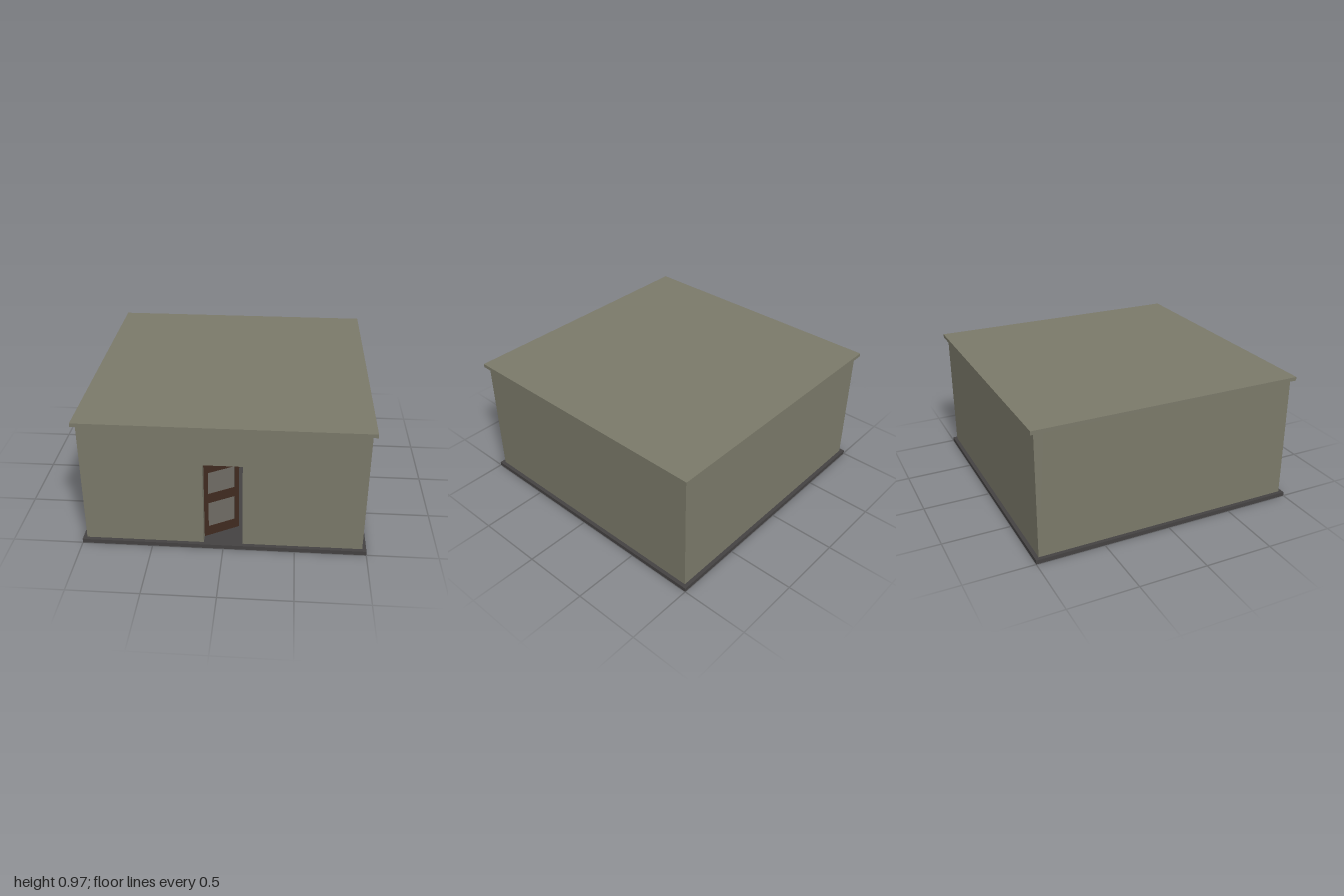
import * as THREE from 'three';

const material = (name, color) => {
  const m = new THREE.MeshStandardMaterial({ color });
  m.name = name;
  return m;
};

export function createModel() {
  const plaster = material('olive plaster', 0x7a7969);
  const stone = material('dark stone', 0x444242);
  const wood = material('dark brown wood', 0x3f2a20);
  const glass = material('grey glass', 0x6e6b64);
  const fabric = material('grey fabric', 0x585652);

  const model = new THREE.Group();
  model.name = 'building';

  const add = (parent, name, geometry, mat, x, y, z) => {
    const mesh = new THREE.Mesh(geometry, mat);
    mesh.name = name;
    mesh.position.set(x, y, z);
    parent.add(mesh);
    return mesh;
  };
  // Box given by its smallest corner and its largest corner
  const box = (parent, name, mat, [x0, y0, z0], [x1, y1, z1]) =>
    add(parent, name, new THREE.BoxGeometry(x1 - x0, y1 - y0, z1 - z0), mat,
      (x0 + x1) / 2, (y0 + y1) / 2, (z0 + z1) / 2);
  const polygon = (points) => new THREE.Shape(points.map(([x, y]) => new THREE.Vector2(x, y)));
  const extrude = (shape, depth) => new THREE.ExtrudeGeometry(shape, { depth, bevelEnabled: false });

  const floorY = 0.03, ceilingY = 0.943, roofY = 0.97;
  const outer = 0.972, inner = 0.905;

  // Foundation and flat overhanging roof
  box(model, 'foundation', stone, [-1, 0, -1], [1, floorY, 1]);
  box(model, 'roof', plaster, [-1, ceilingY, -1], [1, roofY, 1]);

  // Back and side walls
  box(model, 'backWall', plaster, [-outer, floorY, -outer], [outer, ceilingY, -inner]);
  box(model, 'leftWall', plaster, [inner, floorY, -inner], [outer, ceilingY, inner]);
  box(model, 'rightWall', plaster, [-outer, floorY, -inner], [-inner, ceilingY, inner]);

  // Front wall with a doorway
  const doorLeft = -0.138, doorRight = 0.134, lintelY = 0.67;
  const front = polygon([
    [-outer, floorY], [doorLeft, floorY], [doorLeft, lintelY], [doorRight, lintelY],
    [doorRight, floorY], [outer, floorY], [outer, ceilingY], [-outer, ceilingY],
  ]);
  add(model, 'frontWall', extrude(front, outer - inner), plaster, 0, 0, inner);

  // Door standing ajar, swung inward on its hinge
  const door = new THREE.Group();
  door.name = 'door';
  door.position.set(doorLeft, floorY, inner);
  door.rotation.y = Math.PI / 6;
  model.add(door);

  const width = 0.272, height = 0.62, thickness = 0.02;
  const frame = polygon([[0, 0], [width, 0], [width, height], [0, height]]);
  for (const [bottom, top] of [[0.075, 0.275], [0.35, 0.525]]) {
    const x0 = 0.033, x1 = width - 0.033;
    frame.holes.push(new THREE.Path(
      [[x0, bottom], [x0, top], [x1, top], [x1, bottom]].map(([x, y]) => new THREE.Vector2(x, y))));
    box(door, 'doorPane', glass, [x0, bottom, -0.013], [x1, top, -0.005]);
  }
  add(door, 'doorFrame', extrude(frame, thickness), wood, 0, 0, -thickness);

  // Counter and stool inside, glimpsed through the gap
  box(model, 'counter', plaster, [-0.5, floorY, -inner], [0.5, 0.395, -0.65]);
  const stool = new THREE.Group();
  stool.name = 'stool';
  stool.position.set(0.03, 0, -0.45);
  model.add(stool);
  add(stool, 'stoolSeat', new THREE.CylinderGeometry(0.1, 0.1, 0.07, 20), fabric, 0, 0.24, 0);
  add(stool, 'stoolPost', new THREE.CylinderGeometry(0.02, 0.02, 0.16, 12), fabric, 0, 0.13, 0);
  add(stool, 'stoolBase', new THREE.CylinderGeometry(0.1, 0.1, 0.035, 20), stone, 0, 0.0475, 0);

  return model;
}
